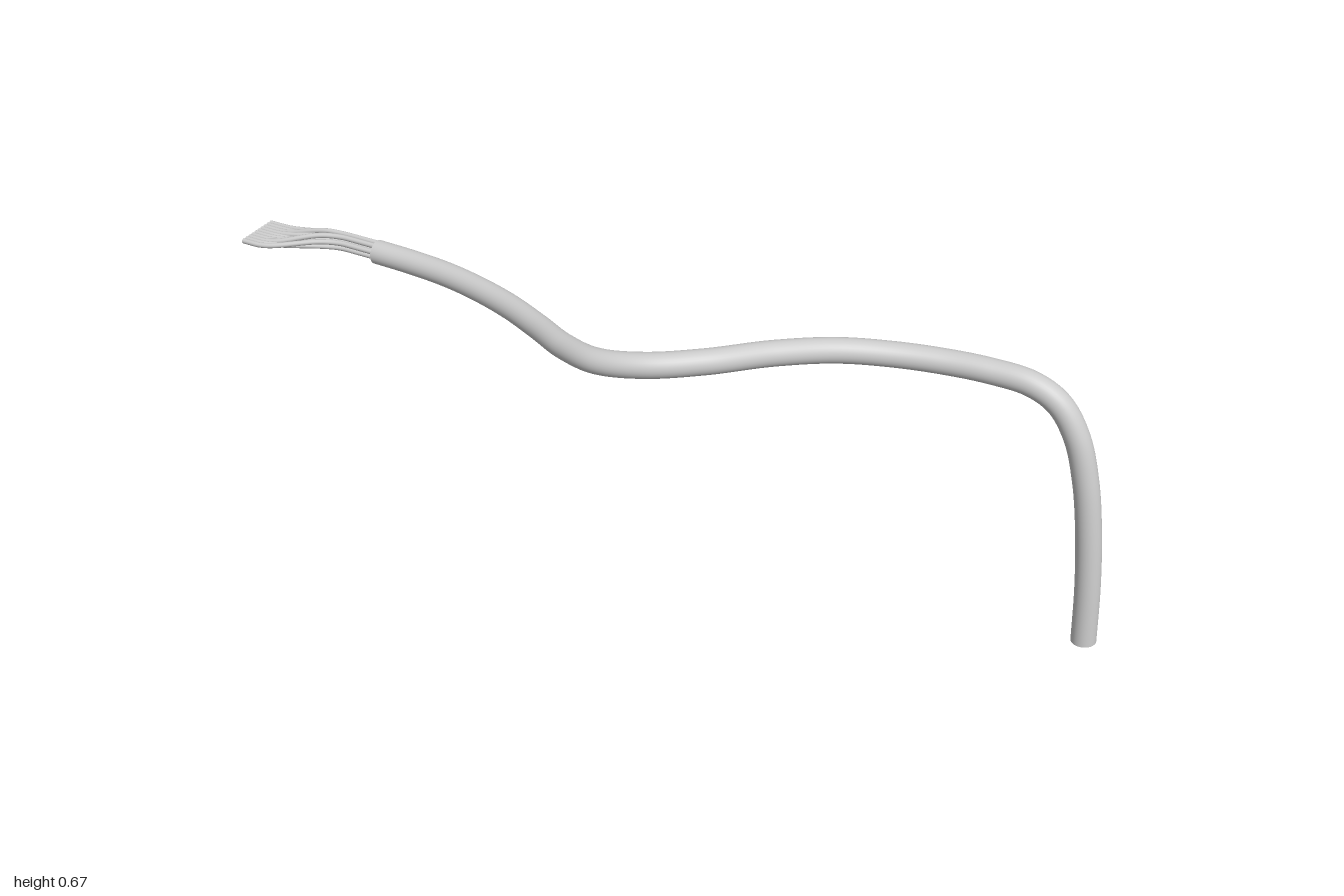
import * as THREE from 'three';

const material = new THREE.MeshStandardMaterial({ color: 0xcccccc });

// Round tube along a smooth path, closed by flat discs at both ends
function cappedTube(name, points, segments, radius, sides) {
  const group = new THREE.Group();
  group.name = name;
  const curve = new THREE.CatmullRomCurve3(points.map(p => new THREE.Vector3(...p)));
  const body = new THREE.Mesh(new THREE.TubeGeometry(curve, segments, radius, sides), material);
  body.name = name + 'Body';
  group.add(body);
  for (const t of [0, 1]) {
    const cap = new THREE.Mesh(new THREE.CircleGeometry(radius, sides), material);
    cap.name = name + 'End';
    const outward = curve.getTangentAt(t).multiplyScalar(t ? 1 : -1);
    cap.quaternion.setFromUnitVectors(new THREE.Vector3(0, 0, 1), outward);
    cap.position.copy(curve.getPointAt(t));
    group.add(cap);
  }
  return group;
}

export function createModel() {
  const model = new THREE.Group();
  model.name = 'cable';

  // Outer sheath: wavy horizontal run, then a bend down to the ground
  model.add(cappedTube('sheath', [
    [-0.695, 0.604, -0.012], [-0.6, 0.603, -0.01], [-0.5, 0.603, 0],
    [-0.4, 0.603, 0.022], [-0.3, 0.604, 0.056], [-0.2, 0.608, 0.105],
    [-0.1, 0.618, 0.163], [0, 0.631, 0.199], [0.1, 0.641, 0.181],
    [0.2, 0.642, 0.112], [0.3, 0.633, 0.002], [0.4, 0.621, -0.09],
    [0.5, 0.612, -0.145], [0.6, 0.608, -0.176], [0.7, 0.606, -0.191],
    [0.79, 0.597, -0.198], [0.85, 0.566, -0.2], [0.895, 0.5, -0.2],
    [0.926, 0.4, -0.2], [0.947, 0.28, -0.2], [0.962, 0.14, -0.2], [0.97, 0, -0.2],
  ], 160, 0.0275, 32));

  // Inner wires: packed in two rings at the sheath, fanned into a flat row at the tip
  const wires = new THREE.Group();
  wires.name = 'wires';
  const slots = [];
  for (const [count, ring, turn] of [[3, 0.0068, 0.5], [7, 0.0165, 0.2]]) {
    for (let i = 0; i < count; i++) {
      const a = turn + (i / count) * Math.PI * 2;
      slots.push([0.607 + ring * Math.sin(a), -0.012 + ring * Math.cos(a)]);
    }
  }
  slots.sort((a, b) => a[1] - b[1]);
  slots.forEach(([y, z], i) => {
    const flatZ = -0.018 + i * 0.0112;
    const path = [];
    for (let k = 0; k <= 16; k++) {
      const x = -0.68 - 0.02 * k;
      const spread = THREE.MathUtils.smoothstep(-x, 0.77, 0.97);
      const drop = THREE.MathUtils.smoothstep(-x, 0.82, 0.96);
      path.push([x, THREE.MathUtils.lerp(y, 0.598, drop), THREE.MathUtils.lerp(z, flatZ, spread)]);
    }
    wires.add(cappedTube('wire', path, 40, 0.006, 12));
  });
  model.add(wires);
  return model;
}
